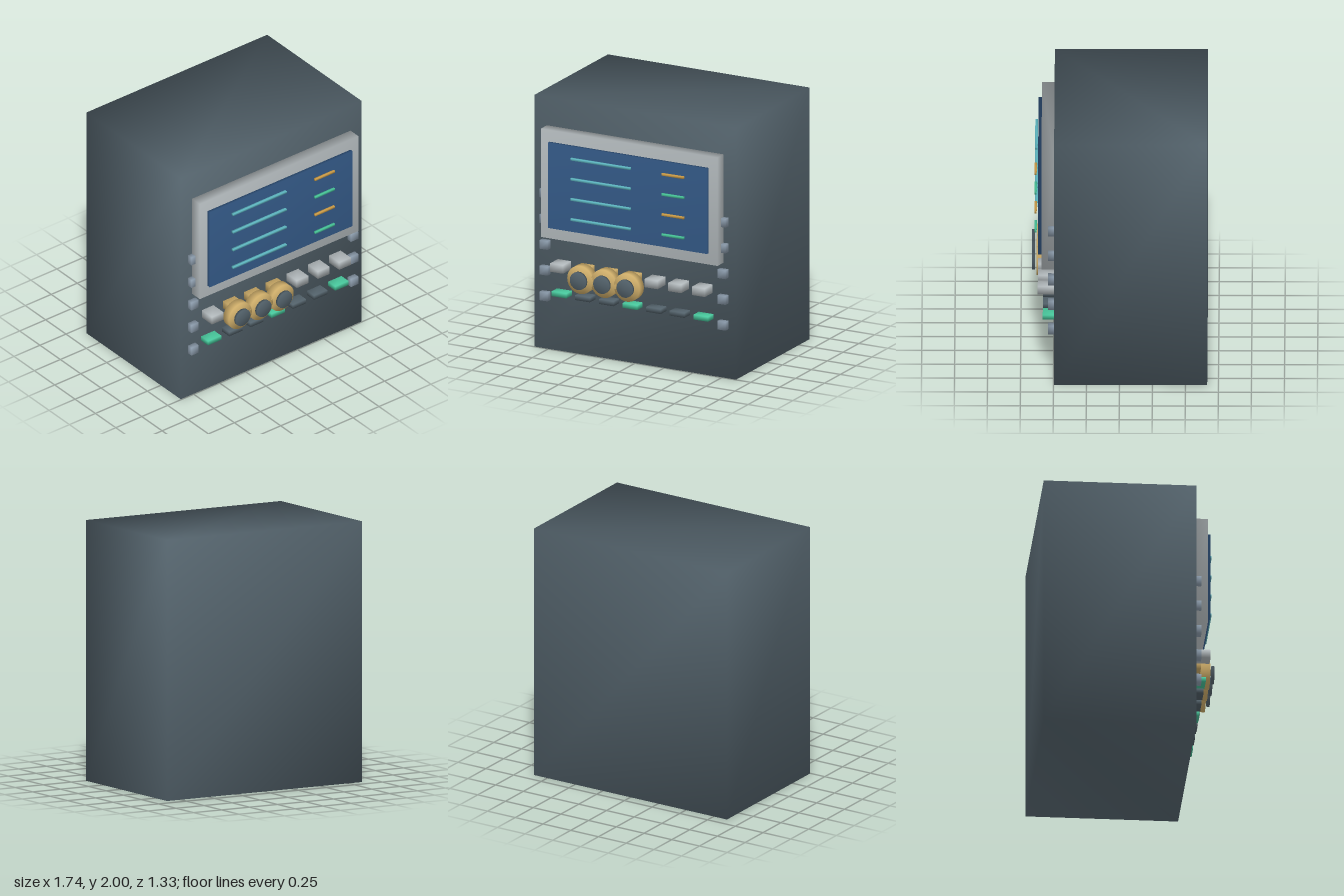
import * as THREE from 'three';
import { mergeVertices } from 'three/addons/utils/BufferGeometryUtils.js';

const mat = (name, color) => {
  const m = new THREE.MeshStandardMaterial({ color });
  m.name = name;
  return m;
};

// Weld corners so normals run smoothly across every edge
function soften(geometry) {
  geometry.deleteAttribute('normal');
  geometry.deleteAttribute('uv');
  const welded = mergeVertices(geometry, 1e-4);
  welded.clearGroups();
  welded.computeVertexNormals();
  return welded;
}

export function createModel() {
  const slate = mat('slate', 0x53626b);
  const silver = mat('silver', 0xb4bbbe);
  const blue = mat('screen blue', 0x345a88);
  const cyan = mat('cyan', 0x5fb9c4);
  const gold = mat('gold', 0xcfae6a);
  const amber = mat('amber', 0xd0a04a);
  const green = mat('green', 0x48c79c);
  const steel = mat('steel', 0x8b9bab);

  const model = new THREE.Group();
  model.name = 'instrumentConsole';

  const add = (name, geometry, material, x, y, z) => {
    const mesh = new THREE.Mesh(soften(geometry), material);
    mesh.name = name;
    mesh.position.set(x, y, z);
    model.add(mesh);
  };
  // Box centred on x and y, spanning z0 to z1
  const box = (name, material, x, y, w, h, z0, z1) =>
    add(name, new THREE.BoxGeometry(w, h, z1 - z0), material, x, y, (z0 + z1) / 2);
  // Disc facing the front, spanning z0 to z1
  const disc = (name, material, x, y, r, z0, z1, sides) =>
    add(name, new THREE.CylinderGeometry(r, r, z1 - z0, sides).rotateX(Math.PI / 2),
      material, x, y, (z0 + z1) / 2);

  const FACE = 0.495;

  // Cabinet, bezel and display
  box('cabinet', slate, 0, 1, 1.74, 2, -0.665, FACE);
  box('bezel', silver, 0, 1.344, 1.526, 0.86, FACE - 0.01, 0.592);
  box('screen', blue, 0, 1.343, 1.374, 0.678, 0.585, 0.618);

  // Readout lines on the display
  for (let i = 0; i < 4; i++) {
    const y = 1.587 - i * 0.16;
    box('readoutLine', cyan, -0.223, y, 0.515, 0.018, 0.622, 0.642);
    box('readoutValue', i % 2 ? green : amber, 0.402, y, 0.19, 0.018, 0.628, 0.645);
  }

  // Two rows of seven keys
  for (let i = 0; i < 7; i++) {
    const x = (i - 3) * 0.204;
    const behindKnob = i >= 1 && i <= 3;
    box('key', behindKnob ? gold : silver, x, 0.693, 0.112, 0.066, FACE - 0.01, 0.62);
    box('indicator', i % 3 ? slate : green, x, 0.473, 0.127, 0.038, FACE - 0.01, 0.582);
  }

  // Rotary knobs
  for (const x of [-0.403, -0.201, 0]) {
    disc('knobRing', gold, x, 0.636, 0.111, 0.562, 0.63, 40);
    disc('knobCap', slate, x, 0.636, 0.07, 0.644, 0.665, 32);
  }

  // Columns of side buttons
  for (const side of [-1, 1])
    for (let i = 0; i < 5; i++)
      box('sideButton', steel, side * 0.768, 1.243 - i * 0.2045, 0.07, 0.068, FACE - 0.01, 0.54);

  return model;
}
